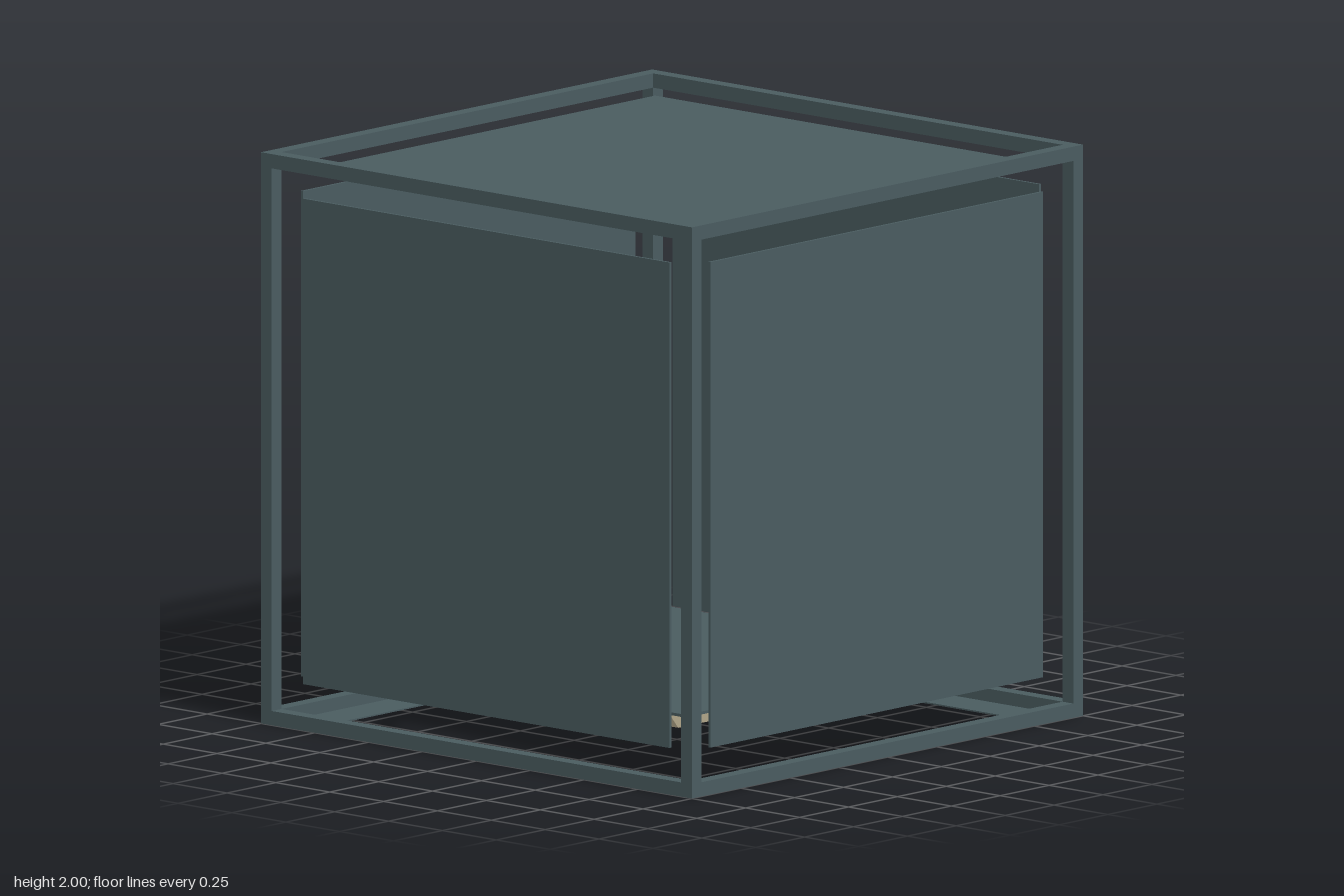
import * as THREE from 'three';

export function createModel() {
  const model = new THREE.Group();
  const slate = new THREE.MeshStandardMaterial({ name: 'slate', color: 0x4a5c60 });
  const cream = new THREE.MeshStandardMaterial({ name: 'cream', color: 0xcabe9e });

  const add = (name, geometry, material, x, y, z) => {
    const mesh = new THREE.Mesh(geometry, material);
    mesh.name = name;
    mesh.position.set(x, y, z);
    model.add(mesh);
    return mesh;
  };
  const box = (name, w, h, d, x, y, z) =>
    add(name, new THREE.BoxGeometry(w, h, d), slate, x, y, z);

  // Open cube frame: four posts and eight rails
  const bar = 0.05, edge = 1 - bar / 2, span = 2 - 2 * bar;
  for (const a of [-edge, edge]) {
    for (const b of [-edge, edge]) {
      box('post', bar, 2, bar, a, 1, b);
      box('sideRail', bar, bar, span, a, 1 + b, 0);
      box('crossRail', span, bar, bar, 0, 1 + a, b);
    }
  }

  // Floating panels on the four sides and the top
  const size = 1.7, thin = 0.01, offset = 0.945;
  for (const s of [-1, 1]) {
    box('sidePanel', thin, size, size, s * offset, 1, 0);
    box(s > 0 ? 'frontPanel' : 'backPanel', size, size, thin, 0, 1, s * offset);
  }
  box('topPanel', size, thin, size, 0, 1 + offset, 0);

  // Flat base ring with a square opening
  const square = (r) => [[-r, -r], [r, -r], [r, r], [-r, r]].map(([x, y]) => new THREE.Vector2(x, y));
  const ring = new THREE.Shape(square(1));
  ring.holes.push(new THREE.Path(square(0.8).reverse()));
  const ringGeometry = new THREE.ExtrudeGeometry(ring, { depth: 0.005, bevelEnabled: false });
  ringGeometry.rotateX(-Math.PI / 2);
  add('baseRing', ringGeometry, slate, 0, 0, 0);

  // Raised plate that carries the three tapered blocks
  box('lowerPlate', 1.4, thin, 1.4, 0, 0.205, 0);

  // Block narrowing downwards
  const taper = new THREE.BoxGeometry(2, 0.1, 2).toNonIndexed();
  const p = taper.attributes.position;
  for (let i = 0; i < p.count; i++) {
    const top = p.getY(i) > 0;
    p.setX(i, p.getX(i) * (top ? 0.151 : 0.118));
    p.setZ(i, p.getZ(i) * (top ? 0.583 : 0.473));
  }
  taper.computeVertexNormals();
  for (const x of [-0.34, 0, 0.34]) add('taperedBlock', taper, cream, x, 0.15, 0);

  return model;
}
